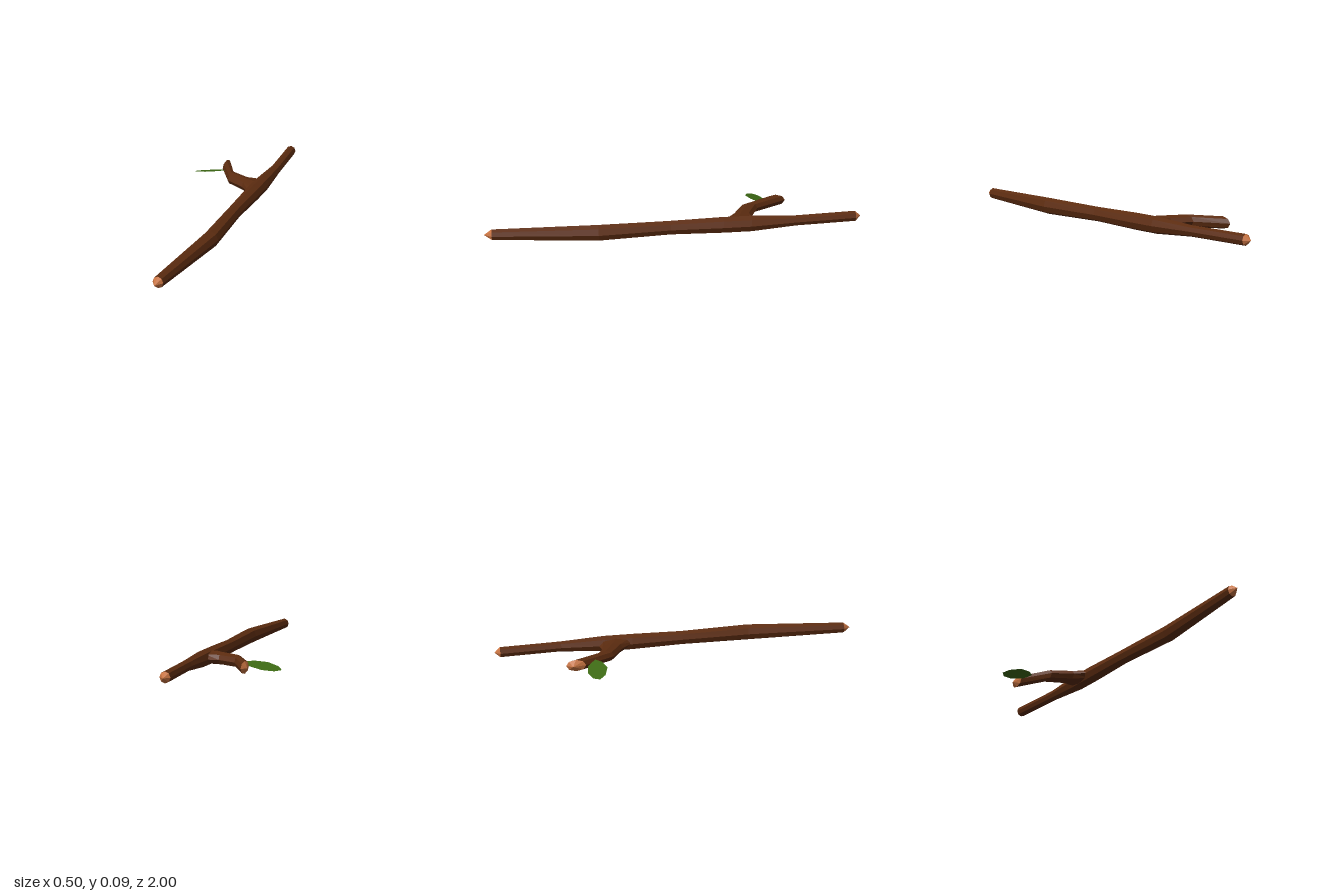
import * as THREE from 'three';

const SIDES = 8;
const wood = (() => new THREE.MeshStandardMaterial({ color: 0x5c2c10 }))();
const cutWood = new THREE.MeshStandardMaterial({ color: 0xc87442 });
const leafGreen = new THREE.MeshStandardMaterial({ color: 0x3d6a14, side: THREE.DoubleSide });
wood.name = 'bark brown';
cutWood.name = 'cut wood';
leafGreen.name = 'leaf green';

// A ring spans two edge points in plan: [left x, left z, right x, right z, half height, centre y]
function ringPoints([ax, az, bx, bz, h, y]) {
  return Array.from({ length: SIDES }, (_, j) => {
    const t = (j / SIDES) * Math.PI * 2, c = Math.cos(t);
    return new THREE.Vector3(
      (ax + bx) / 2 + c * (bx - ax) / 2,
      y + Math.sin(t) * h,
      (az + bz) / 2 + c * (bz - az) / 2);
  });
}

// Separate corners per triangle give faceted normals
function facetMesh(name, points, material) {
  const geometry = new THREE.BufferGeometry().setFromPoints(points);
  geometry.computeVertexNormals();
  const mesh = new THREE.Mesh(geometry, material);
  mesh.name = name;
  return mesh;
}

function barkMesh(name, rings) {
  const pts = [];
  for (let i = 0; i < rings.length - 1; i++) {
    const p = ringPoints(rings[i]), q = ringPoints(rings[i + 1]);
    for (let j = 0; j < SIDES; j++) {
      const k = (j + 1) % SIDES;
      pts.push(p[j], q[j], p[k], p[k], q[j], q[k]);
    }
  }
  return facetMesh(name, pts, wood);
}

// Shallow pointed cap over a cut end
function capMesh(name, ring, apex, atStart) {
  const p = ringPoints(ring), tip = new THREE.Vector3(...apex), pts = [];
  for (let j = 0; j < SIDES; j++) {
    const k = (j + 1) % SIDES;
    pts.push(tip, ...(atStart ? [p[j], p[k]] : [p[k], p[j]]));
  }
  return facetMesh(name, pts, cutWood);
}

export function createModel() {
  const model = new THREE.Group();
  model.name = 'stick';

  // Main stick, front to back
  const stick = [
    [0.137, 0.96, 0.192, 0.96, 0.03, 0.048],
    [0.17, 0.41, 0.25, 0.41, 0.045, 0.047],
    [0.16, 0.03, 0.232, 0.03, 0.039, 0.048],
    [0.152, -0.25, 0.237, -0.25, 0.045, 0.047],
    [0.154, -0.4, 0.237, -0.4, 0.045, 0.047],
    [0.166, -0.64, 0.222, -0.64, 0.029, 0.05],
    [0.148, -0.97, 0.204, -0.97, 0.029, 0.05],
  ];
  model.add(barkMesh('mainStick', stick));
  model.add(capMesh('frontCutEnd', stick[0], [0.163, 0.048, 1.0], true));
  model.add(capMesh('backCutEnd', stick[stick.length - 1], [0.175, 0.05, -1.0], false));

  // Side branch with a slanted cut
  const branch = [
    [0.18, -0.235, 0.18, -0.44, 0.033, 0.048],
    [0.108, -0.31, 0.103, -0.424, 0.033, 0.048],
    [0.0, -0.375, 0.0, -0.474, 0.032, 0.048],
    [-0.098, -0.54, -0.089, -0.645, 0.032, 0.048],
  ];
  model.add(barkMesh('sideBranch', branch));
  model.add(capMesh('branchCutEnd', branch[3], [-0.112, 0.048, -0.61], false));

  // Leaf: a flat outline tilted down towards its tip and back edge
  const outline = [
    [-0.055, -0.49], [-0.1, -0.53], [-0.165, -0.54], [-0.225, -0.523],
    [-0.254, -0.49], [-0.228, -0.457], [-0.165, -0.437], [-0.1, -0.455],
  ].map(([x, z]) => new THREE.Vector3(x, 0.042 + 0.17 * (x + 0.16) + 0.23 * (z + 0.49), z));
  const leaf = [];
  for (let i = 1; i < outline.length - 1; i++) leaf.push(outline[0], outline[i], outline[i + 1]);
  model.add(facetMesh('leaf', leaf, leafGreen));

  return model;
}
